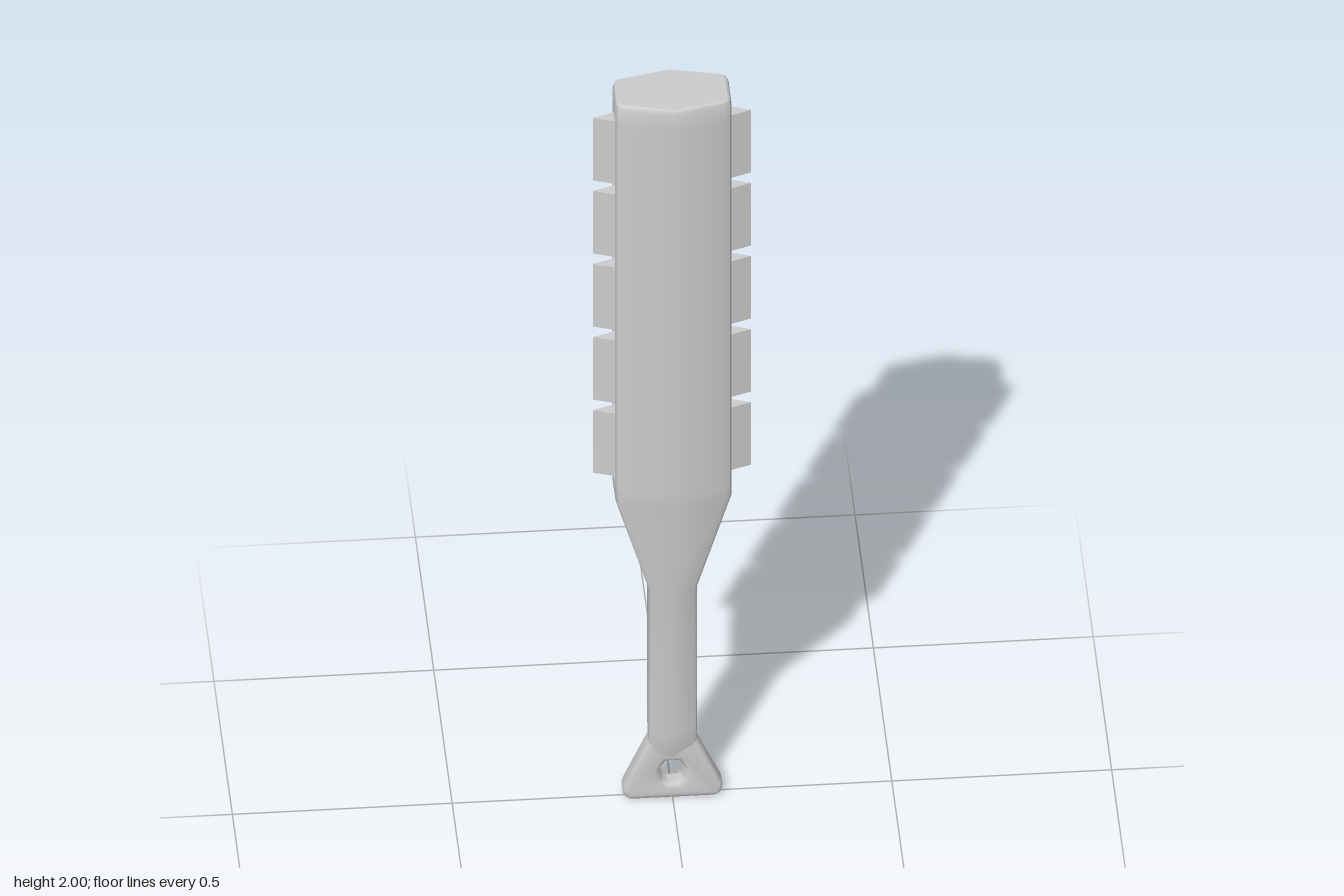
import * as THREE from 'three';
import { toCreasedNormals } from 'three/addons/utils/BufferGeometryUtils.js';

const material = new THREE.MeshStandardMaterial({ color: 0xcccccc });

// Softened hexagon cross-section: half width w, ridge depth d, corner depth c,
// and a side channel whose floor lies at x = floor
function section(y, w, d, c, floor = w) {
  const q = [[floor, 0.52 * c], [w, 0.52 * c], [w, 0.7 * c], [0.965 * w, 0.87 * c], [0.87 * w, c], [0, d]];
  const half = [...q, ...q.slice(0, -1).reverse().map(([x, z]) => [-x, z])];
  const back = half.map(([x, z]) => [-x, -z]);
  return [...half, ...back].map(([x, z]) => new THREE.Vector3(x, y, z));
}

// Skin a stack of sections, skipping collapsed triangles
function loft(rings) {
  const pos = [];
  const tri = (a, b, c) => {
    const area = b.clone().sub(a).cross(c.clone().sub(a)).length();
    if (area > 1e-9) for (const p of [a, b, c]) pos.push(p.x, p.y, p.z);
  };
  for (let i = 0; i < rings.length - 1; i++) {
    const lo = rings[i], hi = rings[i + 1], n = lo.length;
    for (let j = 0; j < n; j++) {
      const k = (j + 1) % n;
      tri(lo[j], hi[j], lo[k]);
      tri(lo[k], hi[j], hi[k]);
    }
  }
  const g = new THREE.BufferGeometry();
  g.setAttribute('position', new THREE.Float32BufferAttribute(pos, 3));
  return toCreasedNormals(g, 0.56);
}

function add(parent, geometry, name) {
  const mesh = new THREE.Mesh(geometry, material);
  mesh.name = name;
  parent.add(mesh);
  return mesh;
}

export function createModel() {
  const group = new THREE.Group();
  group.name = 'bladedClub';

  // Handle flaring into the paddle body, with a channel along each side
  add(group, loft([
    section(0.115, 0, 0, 0),
    section(0.115, 0.05, 0.024, 0.02),
    section(0.16, 0.054, 0.036, 0.026),
    section(0.2, 0.055, 0.039, 0.028),
    section(0.6, 0.055, 0.044, 0.031),
    section(0.87, 0.132, 0.083, 0.058),
    section(0.905, 0.132, 0.083, 0.058),
    section(0.905, 0.132, 0.083, 0.058, 0.108),
    section(1.94, 0.132, 0.083, 0.058, 0.108),
    section(1.94, 0.132, 0.083, 0.058),
    section(1.985, 0.132, 0.083, 0.058),
    section(1.996, 0.129, 0.08, 0.055),
    section(2, 0.124, 0.076, 0.051),
    section(2, 0, 0, 0),
  ]), 'handleAndBody');

  // Flared pommel with a lanyard hole; the bevel grows the outline by b
  const b = 0.012;
  const s = new THREE.Shape();
  s.moveTo(-0.088, b);
  s.lineTo(0.088, b);
  s.quadraticCurveTo(0.106, b, 0.1, 0.034);
  s.lineTo(0.043, 0.16);
  s.lineTo(-0.043, 0.16);
  s.lineTo(-0.1, 0.034);
  s.quadraticCurveTo(-0.106, b, -0.088, b);
  const hole = new THREE.Path();
  const rim = [[0.022, 0.116], [0.043, 0.083], [0.035, 0.045], [0.016, 0.029]];
  hole.setFromPoints([...rim, ...rim.map(([x, y]) => [-x, y]).reverse()].map(p => new THREE.Vector2(...p)));
  hole.closePath();
  s.holes.push(hole);
  const pommel = new THREE.ExtrudeGeometry(s, {
    depth: 0.026, bevelEnabled: true, bevelThickness: b, bevelSize: b, bevelSegments: 3, curveSegments: 5,
  });
  pommel.translate(0, 0, -0.013);
  add(group, toCreasedNormals(pommel, 0.7), 'pommel');

  // Five wedge blades set into each side channel
  const wedge = new THREE.Shape([[0.107, -0.026], [0.18, 0], [0.107, 0.026]].map(p => new THREE.Vector2(...p)));
  const blade = new THREE.ExtrudeGeometry(wedge, { depth: 0.178, bevelEnabled: false });
  blade.rotateX(-Math.PI / 2);
  for (const [side, turn] of [['left', 0], ['right', Math.PI]]) {
    const row = new THREE.Group();
    row.name = side + 'Blades';
    row.rotation.y = turn;
    for (let i = 0; i < 5; i++) {
      add(row, blade, side + 'Blade' + (i + 1)).position.y = 0.921 + i * 0.208;
    }
    group.add(row);
  }
  return group;
}
